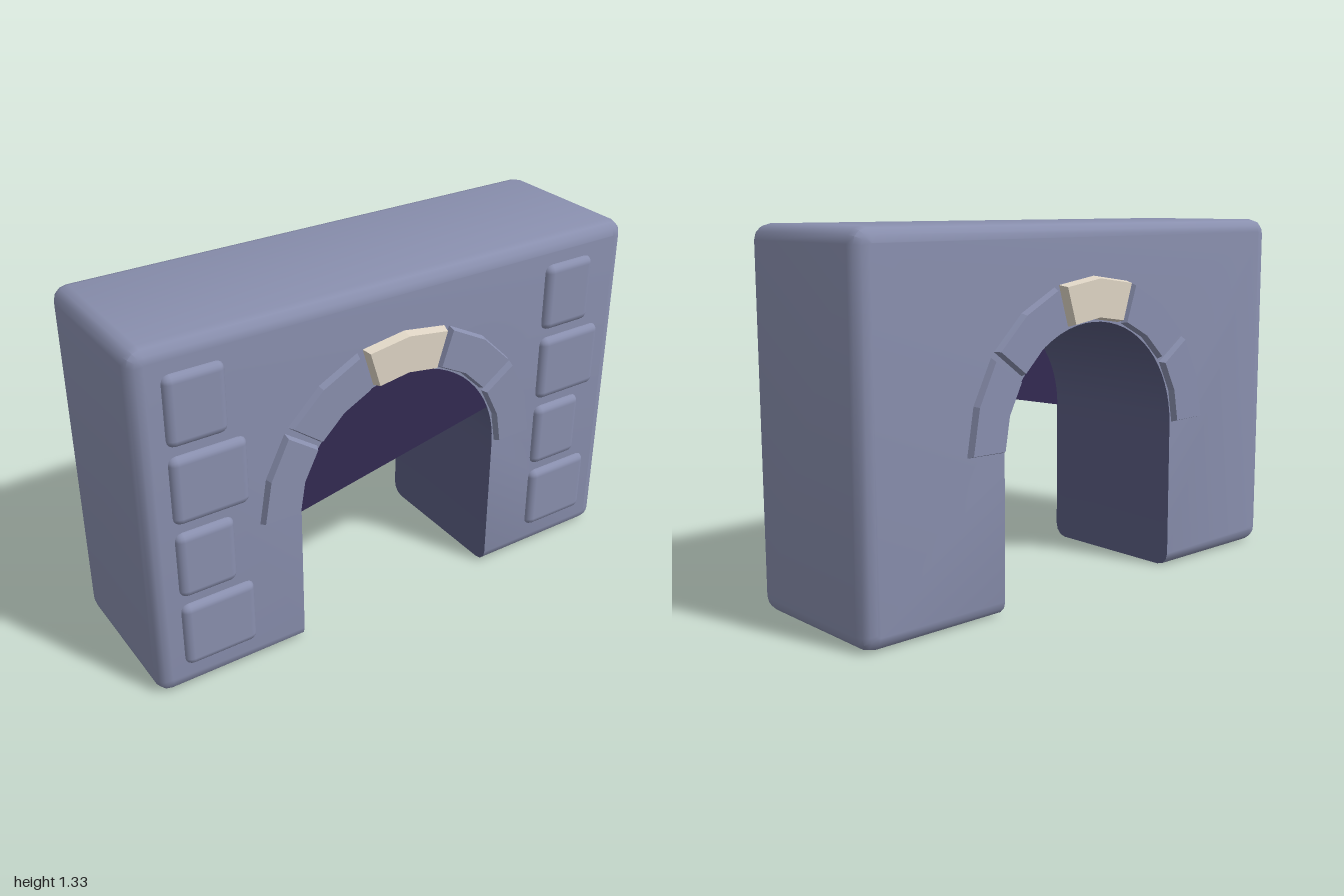
import * as THREE from 'three';
import { toCreasedNormals } from 'three/addons/utils/BufferGeometryUtils.js';
import { RoundedBoxGeometry } from 'three/addons/geometries/RoundedBoxGeometry.js';

const HEIGHT = 1.332, HALF_DEPTH = 0.31, BEVEL = 0.05;
const ARCH_R = 0.42, SPRING_Y = 0.563;

const material = (name, color) => {
  const m = new THREE.MeshStandardMaterial({ color });
  m.name = name;
  return m;
};

const polar = (r, a, cx = 0, cy = SPRING_Y) =>
  new THREE.Vector2(cx + r * Math.cos(a), cy + r * Math.sin(a));

function arc(r, from, to, steps, cx, cy) {
  const pts = [];
  for (let i = 0; i <= steps; i++) pts.push(polar(r, from + (to - from) * i / steps, cx, cy));
  return pts;
}

// Distance from the opening's centre line: straight jambs below, arch above
const openingDistance = (x, y) => Math.hypot(x, Math.max(0, y - SPRING_Y));

// Bevelled wall with a sharp-edged arched opening; group 0 is the outside, group 1 the passage
function wallGeometry() {
  const r = BEVEL + 0.004, q = Math.PI / 2;
  const pts = [
    new THREE.Vector2(ARCH_R, 0),
    ...arc(r, -q, 0, 3, 1 - r, r),
    ...arc(r, 0, q, 3, 1 - r, HEIGHT - r),
    ...arc(r, q, 2 * q, 3, -1 + r, HEIGHT - r),
    ...arc(r, 2 * q, 3 * q, 3, -1 + r, r),
    new THREE.Vector2(-ARCH_R, 0),
    ...arc(ARCH_R, Math.PI, 0, 32),
  ];
  const extruded = new THREE.ExtrudeGeometry(new THREE.Shape(pts), {
    depth: 2 * (HALF_DEPTH - BEVEL), bevelEnabled: true, bevelThickness: BEVEL,
    bevelSize: BEVEL, bevelOffset: -BEVEL, bevelSegments: 3,
  });
  extruded.translate(0, 0, BEVEL - HALF_DEPTH);

  // Pull the opening's bevel back to a straight cut
  const pos = extruded.attributes.position;
  for (let i = 0; i < pos.count; i++) {
    const x = pos.getX(i), y = pos.getY(i), dist = openingDistance(x, y);
    if (dist > ARCH_R + BEVEL + 0.02) continue;
    const k = ARCH_R / dist;
    pos.setXY(i, x * k, y > SPRING_Y ? SPRING_Y + (y - SPRING_Y) * k : y);
  }

  // Sort the faces into outside and passage
  const geo = toCreasedNormals(extruded, 0.6);
  const p = geo.attributes.position, n = geo.attributes.normal;
  const inPassage = (i) => Math.abs(n.getZ(i)) < 0.5 &&
    Math.abs(openingDistance(p.getX(i), p.getY(i)) - ARCH_R) < 0.002;
  geo.clearGroups();
  let start = 0, current = 0;
  for (let i = 0; i < p.count; i += 3) {
    const kind = [i, i + 1, i + 2].every(inPassage) ? 1 : 0;
    if (kind === current) continue;
    if (i > start) geo.addGroup(start, i - start, current);
    start = i;
    current = kind;
  }
  geo.addGroup(start, p.count - start, current);
  return geo;
}

// Wedge stone of the arch, tapering slightly towards its face
function voussoirGeometry(angle, front) {
  const half = THREE.MathUtils.degToRad(16.9), taper = 0.008, core = 0.02;
  const shape = new THREE.Shape([
    ...arc(0.583, angle - half, angle + half, 2),
    ...arc(0.43, angle + half, angle - half, 2),
  ]);
  const geo = new THREE.ExtrudeGeometry(shape, {
    depth: core, bevelEnabled: true, bevelThickness: front - HALF_DEPTH,
    bevelSize: taper, bevelOffset: -taper, bevelSegments: 1,
  });
  geo.translate(0, 0, HALF_DEPTH - core);
  return toCreasedNormals(geo, 0.2);
}

export function createModel() {
  const stone = material('blue grey stone', 0x898fae);
  const passage = material('dark blue passage', 0x595c80);
  const pale = material('pale keystone', 0xded4c4);
  const shade = material('dark purple', 0x332a52);
  shade.side = THREE.DoubleSide;

  const model = new THREE.Group();
  model.name = 'archway';
  const add = (name, geo, mat, parent = model) => {
    const mesh = new THREE.Mesh(geo, mat);
    mesh.name = name;
    parent.add(mesh);
    return mesh;
  };

  add('wall', wallGeometry(), [stone, passage]);

  // Dark panel across the top of the opening
  const panel = new THREE.ShapeGeometry(
    new THREE.Shape(arc(ARCH_R, 0.4, Math.PI, 28)));
  panel.translate(0, 0, HALF_DEPTH - 0.002);
  add('archPanel', panel, shade);

  // Five arch stones on the front and on the back
  for (const side of ['front', 'back']) {
    const ring = new THREE.Group();
    ring.name = side + 'ArchStones';
    if (side === 'back') ring.rotation.y = Math.PI;
    for (let i = -2; i <= 2; i++) {
      const key = i === 0;
      const angle = Math.PI / 2 + THREE.MathUtils.degToRad(36 * i);
      add(key ? 'keystone' : 'archStone',
        voussoirGeometry(angle, key ? 0.345 : 0.334), key ? pale : stone, ring);
    }
    model.add(ring);
  }

  // Raised blocks up both front piers, alternating narrow and wide
  const blockH = 0.258, blockD = 0.08;
  for (const startX of [-0.9, 0.62]) {
    for (let row = 0; row < 4; row++) {
      const w = row % 2 ? 0.217 : 0.28;
      const block = add('facingBlock', new RoundedBoxGeometry(w, blockH, blockD, 2, 0.03), stone);
      block.position.set(startX + w / 2, 0.234 + row * 0.291, 0.333 - blockD / 2);
    }
  }

  return model;
}
